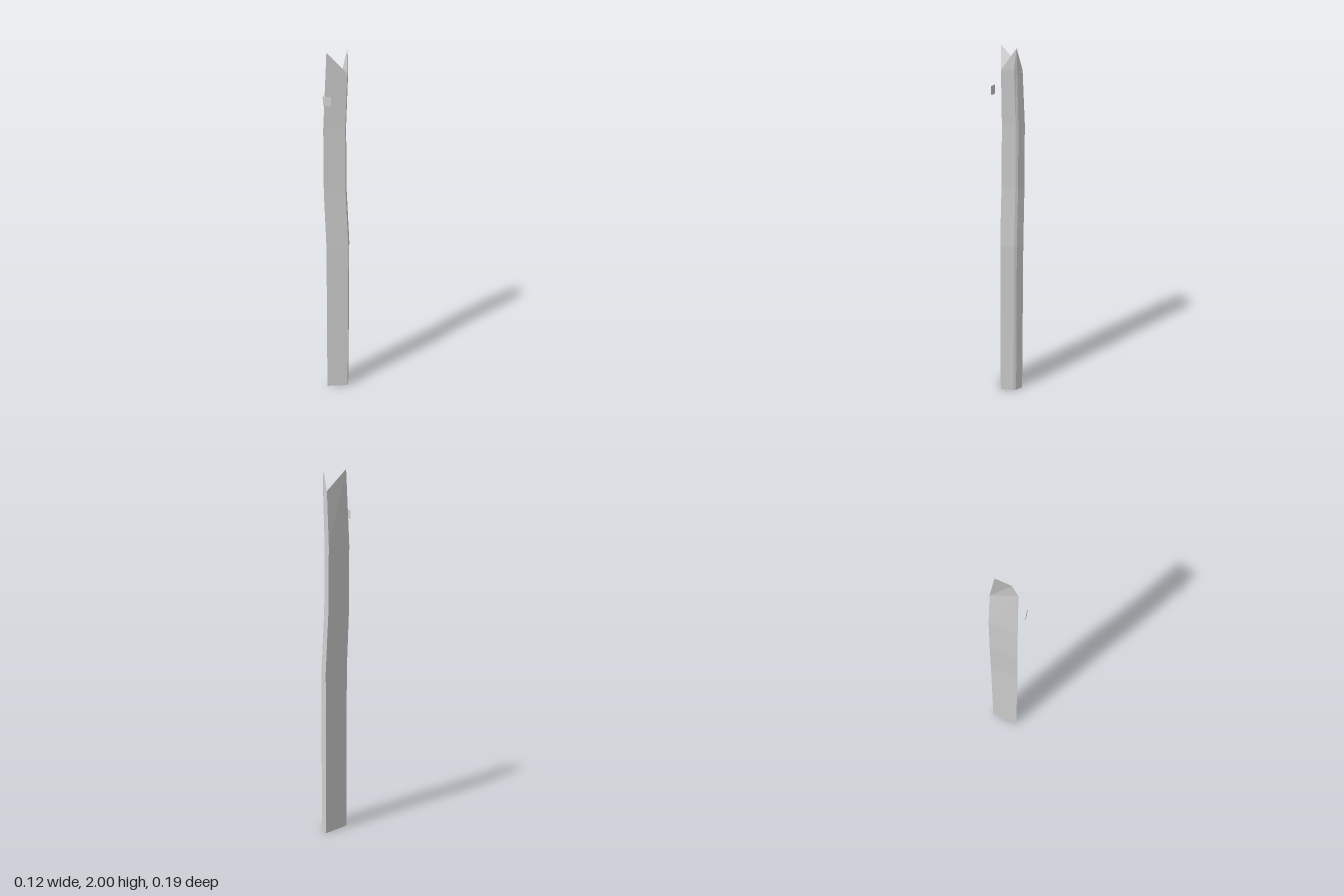
import * as THREE from 'three';

export function createModel() {
  const group = new THREE.Group();
  const grey = new THREE.MeshStandardMaterial({ color: 0xd0d0d0, side: THREE.DoubleSide });
  grey.name = 'pale grey';

  // Cross-section of the split post (x, z), counter-clockwise seen from above
  const section = [[-0.046, 0.065], [0.061, 0.01], [0.037, -0.062], [0.027, -0.074], [-0.0125, -0.094]];
  // Each level: height, scale of the section, shift in x
  const levels = [[0, 1, 0], [0.92, 1, 0], [1.25, 0.965, -0.016], [1.6, 0.945, -0.018], [1.89, 0.87, -0.003]];
  // The jagged top has two splintered peaks
  const topHeights = [2, 1.89, 1.89, 2, 1.885];

  const rings = levels.map(([y, s, dx], k) => section.map(([x, z], i) =>
    [x * s + dx, k === levels.length - 1 ? topHeights[i] : y, z * s]));

  const positions = [];
  const tri = (a, b, c) => positions.push(...a, ...b, ...c);
  const n = section.length;

  // Sides
  for (let k = 0; k < rings.length - 1; k++) {
    const lo = rings[k], hi = rings[k + 1];
    for (let i = 0; i < n; i++) {
      const j = (i + 1) % n;
      tri(lo[i], lo[j], hi[j]);
      tri(lo[i], hi[j], hi[i]);
    }
  }
  // Bottom, and the top folded into a valley
  const base = rings[0], top = rings[rings.length - 1];
  for (let i = 1; i < n - 1; i++) tri(base[0], base[i + 1], base[i]);
  for (const [a, b, c] of [[0, 1, 4], [1, 3, 4], [1, 2, 3]]) tri(top[a], top[b], top[c]);

  const geometry = new THREE.BufferGeometry();
  geometry.setAttribute('position', new THREE.Float32BufferAttribute(positions, 3));
  geometry.computeVertexNormals();
  const post = new THREE.Mesh(geometry, grey);
  post.name = 'splitPost';
  group.add(post);

  // Small flat tag held just in front of the post
  const tag = new THREE.Mesh(new THREE.PlaneGeometry(0.045, 0.048), grey);
  tag.name = 'tag';
  tag.position.set(-0.026, 1.762, 0.093);
  group.add(tag);

  return group;
}
